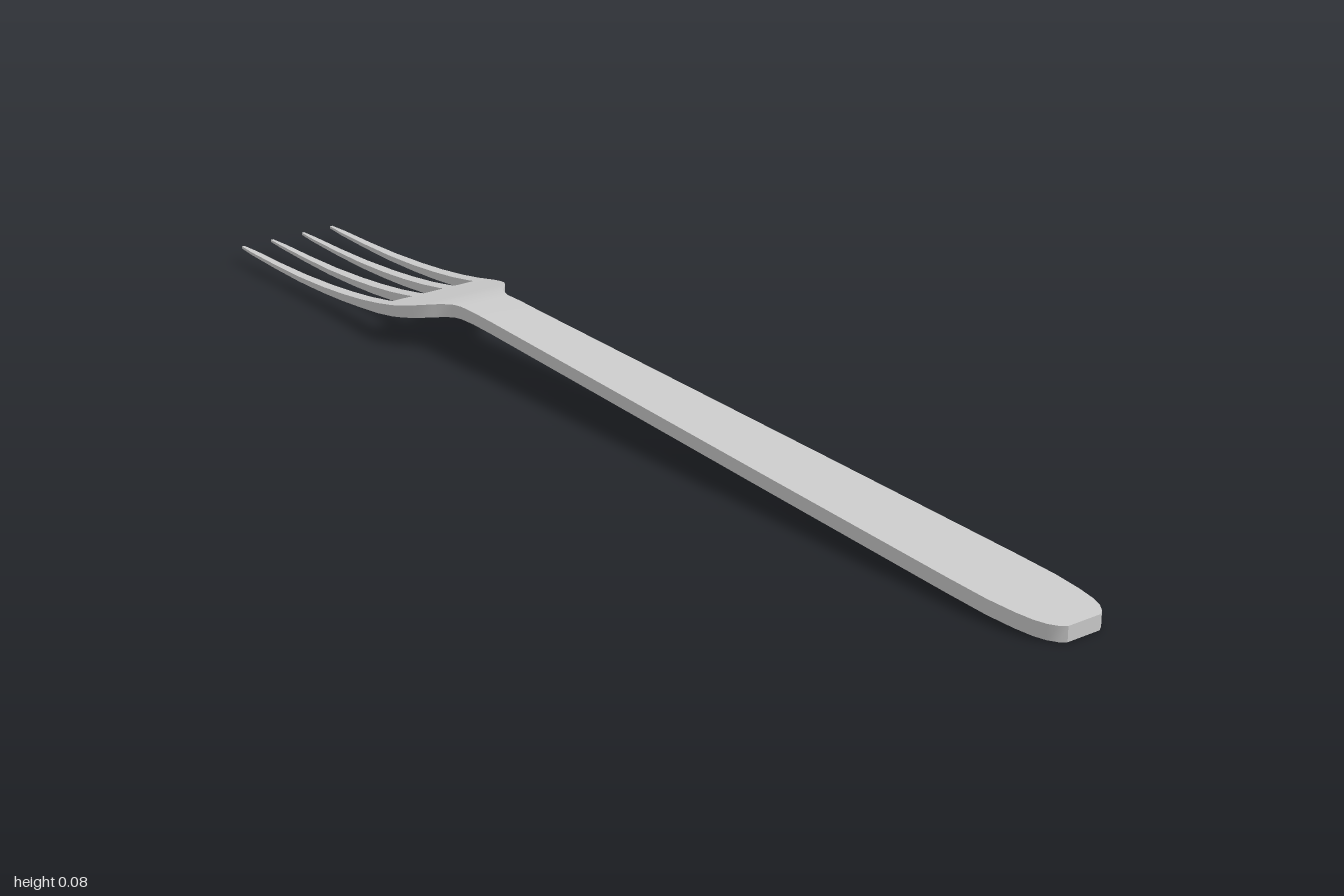
import * as THREE from 'three';
import { toCreasedNormals } from 'three/addons/utils/BufferGeometryUtils.js';

// Side profile: [z, underside y, top y]
const PROFILE = [
  [1, 0, 0.024], [-0.3, 0.057, 0.078], [-0.35, 0.059, 0.08], [-0.4, 0.058, 0.08],
  [-0.43, 0.054, 0.077], [-0.46, 0.049, 0.071], [-0.5, 0.042, 0.062], [-0.55, 0.034, 0.052],
  [-0.6, 0.029, 0.044], [-0.66, 0.024, 0.037], [-0.72, 0.021, 0.032], [-0.8, 0.019, 0.028],
  [-0.88, 0.02, 0.027], [-1, 0.024, 0.028],
];

// Linear lookup in a table sorted by descending z
function lookup(table, z, column) {
  let i = 1;
  while (i < table.length - 1 && table[i][0] > z) i++;
  const [a, b] = [table[i - 1], table[i]];
  return THREE.MathUtils.mapLinear(z, a[0], b[0], a[column], b[column]);
}

// Rectangular sections [z, left x, right x] lofted along the side profile
function loft(sections, capStart, capEnd) {
  const zs = sections.map((s) => s[0]);
  const last = zs[zs.length - 1];
  const stations = [...new Set([...zs, ...PROFILE.map((p) => p[0])])]
    .filter((z) => z <= zs[0] && z >= last)
    .sort((a, b) => b - a);
  const rings = stations.map((z) => {
    const l = lookup(sections, z, 1), r = lookup(sections, z, 2);
    const b = lookup(PROFILE, z, 1), t = lookup(PROFILE, z, 2);
    return [[l, b, z], [r, b, z], [r, t, z], [l, t, z]];
  });
  const pos = [];
  const quad = (a, b, c, d) => pos.push(...a, ...b, ...c, ...a, ...c, ...d);
  for (let i = 0; i < rings.length - 1; i++) {
    const A = rings[i], B = rings[i + 1];
    for (let k = 0; k < 4; k++) quad(A[k], B[k], B[(k + 1) % 4], A[(k + 1) % 4]);
  }
  if (capStart) quad(...rings[0]);
  if (capEnd) quad(...[...rings[rings.length - 1]].reverse());
  const geometry = new THREE.BufferGeometry();
  geometry.setAttribute('position', new THREE.Float32BufferAttribute(pos, 3));
  return toCreasedNormals(geometry, 0.6);
}

export function createModel() {
  const group = new THREE.Group();
  group.name = 'fork';
  const material = new THREE.MeshStandardMaterial({ color: 0xcccccc });
  const add = (name, geometry) => {
    const mesh = new THREE.Mesh(geometry, material);
    mesh.name = name;
    group.add(mesh);
  };
  const ROOT = -0.535;

  // Handle with a rounded end, narrowing to the neck: [z, half width]
  const handle = [
    [1, 0.03], [0.993, 0.04], [0.98, 0.049], [0.96, 0.056], [0.93, 0.061], [0.88, 0.065],
    [0.8, 0.065], [0.4, 0.059], [0, 0.052], [-0.3, 0.047], [-0.385, 0.047],
  ];
  // Shoulders spreading out to the tines
  const head = [
    [-0.385, 0.047], [-0.4, 0.051], [-0.415, 0.059], [-0.43, 0.072], [-0.445, 0.084],
    [-0.46, 0.093], [-0.48, 0.1], [-0.505, 0.104], [ROOT, 0.104],
  ];
  const mirrored = (rows) => rows.map(([z, w]) => [z, -w, w]);
  add('handle', loft(mirrored(handle), true, false));
  add('head', loft(mirrored(head), false, true));

  // Four tapering tines: inner and outer edges at root, middle and tip
  const tines = {
    innerTine: [[ROOT, 0.02, 0.043], [-0.75, 0.023, 0.041], [-0.96, 0.027, 0.037], [-1, 0.03, 0.035]],
    outerTine: [[ROOT, 0.082, 0.104], [-0.75, 0.084, 0.102], [-0.96, 0.087, 0.098], [-1, 0.09, 0.095]],
  };
  for (const [name, rows] of Object.entries(tines)) {
    add(name + 'Left', loft(rows, false, true));
    add(name + 'Right', loft(rows.map(([z, a, b]) => [z, -b, -a]), false, true));
  }
  return group;
}
